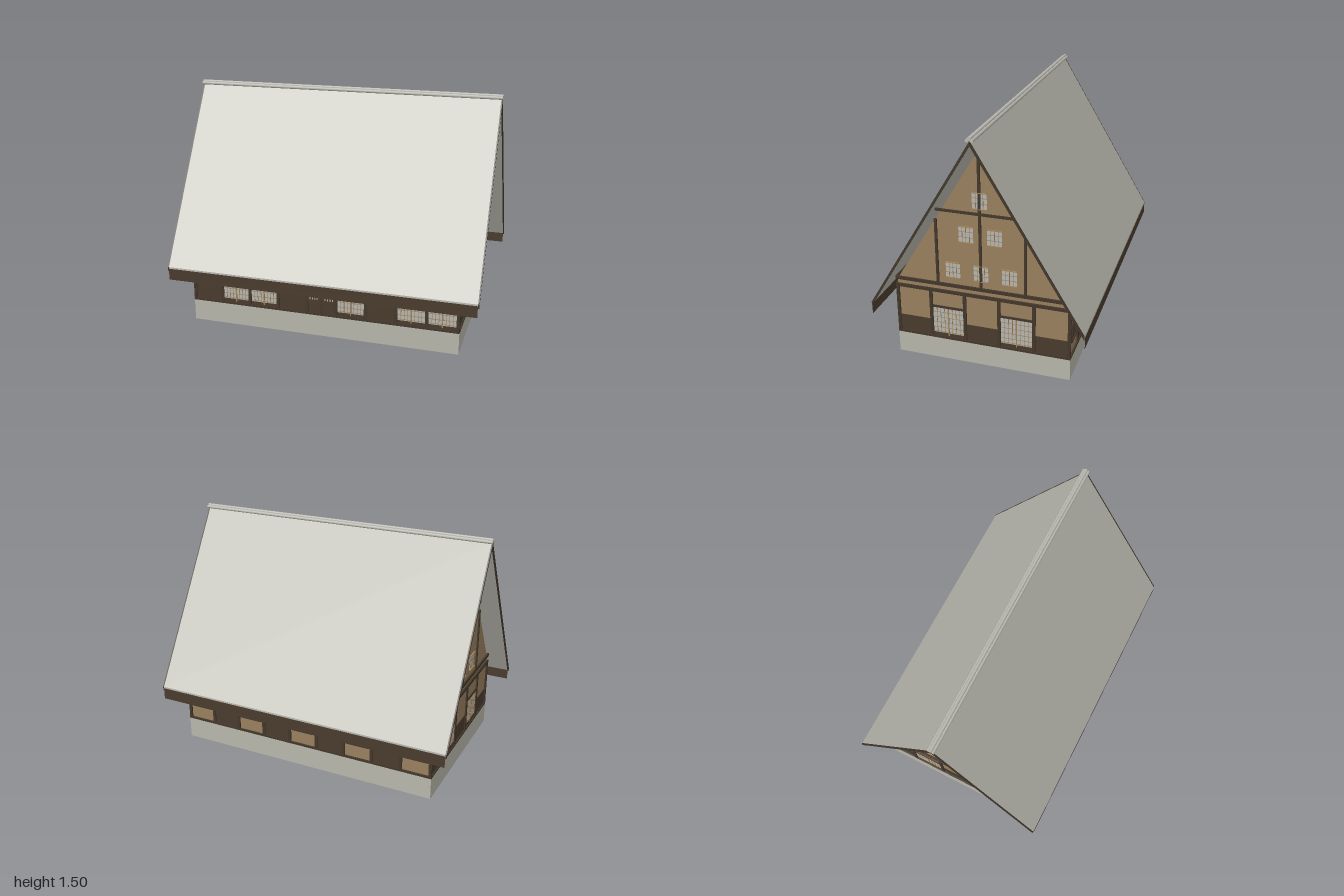
import * as THREE from 'three';

const paint = (name, color, extra = {}) => {
  const m = new THREE.MeshStandardMaterial({ color, ...extra });
  m.name = name;
  return m;
};

export function createModel() {
  const model = new THREE.Group();
  model.name = 'farmhouse';

  const roofGrey = paint('roof grey', 0xbab9b0);
  const stone = paint('foundation stone', 0xb8b7ac, { side: THREE.DoubleSide });
  const plaster = paint('ochre plaster', 0x9a805f);
  const timber = paint('dark timber', 0x42372b);
  const board = paint('brown boards', 0x4a3b2e);
  const eave = paint('eave boards', 0x4a3b2e, { side: THREE.DoubleSide });
  const paper = paint('paper pane', 0xb6b7b2);
  const lattice = paint('light lattice', 0xa08055);
  const shade = paint('dark opening', 0x2c251e);

  const add = (parent, name, geo, mat) => {
    const mesh = new THREE.Mesh(geo, mat);
    mesh.name = name;
    parent.add(mesh);
    return mesh;
  };

  // Cross-section in the z-y plane, run along x between x0 and x1
  const runAlongX = (pts, x0, x1) => {
    const shape = new THREE.Shape(pts.map(p => new THREE.Vector2(...p)));
    return new THREE.ExtrudeGeometry(shape, { depth: x1 - x0, bevelEnabled: false })
      .rotateY(Math.PI / 2).translate(x0, 0, 0);
  };

  // Foundation, open underneath
  const base = new THREE.BoxGeometry(1.75, 0.14, 1.096).translate(0, 0.07, 0);
  base.setIndex(Array.from(base.index.array).filter((_, i) => i < 18 || i >= 24));
  base.clearGroups();
  add(model, 'foundation', base, stone);

  // Plastered body with steep gables
  add(model, 'houseBody', runAlongX([[-0.538, 0.14], [0.538, 0.14], [0.538, 0.5], [0.53, 0.52],
    [0, 1.385], [-0.53, 0.52], [-0.538, 0.5]], -0.865, 0.865), plaster);

  // Roof, verge boards, eave boards and ridge
  const chevron = t => [[-0.655, 0.395 - t], [0, 1.478 - t], [0.655, 0.395 - t],
    [0.655, 0.395], [0, 1.478], [-0.655, 0.395]];
  add(model, 'roof', runAlongX(chevron(0.018), -0.99, 0.99), roofGrey);
  for (const s of [-1, 1]) {
    add(model, 'vergeBoard', runAlongX(chevron(0.026), s * 0.994 - 0.004, s * 0.994 + 0.004), timber);
    add(model, 'eaveBoard', new THREE.PlaneGeometry(1.98, 0.075).translate(0, 0.3475, s * 0.657), eave);
  }
  for (const [z, y] of [[-0.014, 1.481], [0.014, 1.481], [0, 1.491]]) {
    add(model, 'ridgePole', new THREE.CylinderGeometry(0.0105, 0.0105, 2, 8)
      .rotateZ(Math.PI / 2).translate(0, y, z), roofGrey);
  }

  // A wall group faces its local +z; slab() lays a piece on its surface
  const wall = (name, angle, distance) => {
    const g = new THREE.Group();
    g.name = name;
    g.rotation.y = angle;
    g.position.set(Math.sin(angle) * distance, 0, Math.cos(angle) * distance);
    model.add(g);
    return g;
  };
  const slab = (g, name, mat, u0, u1, y0, y1, out) =>
    add(g, name, new THREE.BoxGeometry(u1 - u0, y1 - y0, out)
      .translate((u0 + u1) / 2, (y0 + y1) / 2, out / 2), mat);

  // Sill, posts and head beams
  const frame = (g, half, bays) => {
    slab(g, 'sillBeam', timber, -half, half, 0.139, 0.152, 0.012);
    slab(g, 'headBeam', timber, -half, half, 0.458, 0.478, 0.012);
    slab(g, 'upperBeam', timber, -half, half, 0.506, 0.526, 0.012);
    const inner = half - 0.01;
    for (let i = 0; i <= bays; i++) {
      const u = -inner + (2 * inner * i) / bays;
      slab(g, 'post', timber, u - 0.01, u + 0.01, 0.15, 0.46, 0.01);
    }
    return 2 * inner / bays;
  };

  // Bay fillings: u is the bay centre and w its width
  const wainscot = (g, u, w) =>
    slab(g, 'wainscot', board, u - w / 2, u + w / 2, 0.15, 0.26, 0.003);

  const screen = (g, u, w) => {
    const h = w / 2 - 0.01;
    slab(g, 'kickBoard', board, u - h, u + h, 0.15, 0.175, 0.005);
    slab(g, 'lintel', timber, u - h, u + h, 0.35, 0.363, 0.009);
    slab(g, 'screenPaper', paper, u - h, u + h, 0.175, 0.35, 0.003);
    slab(g, 'screenStile', lattice, u - 0.004, u + 0.004, 0.16, 0.35, 0.006);
    for (const s of [-1, 1]) for (const k of [0.25, 0.5, 0.75]) {
      const c = u + s * h * k;
      slab(g, 'screenBar', lattice, c - 0.0015, c + 0.0015, 0.175, 0.35, 0.005);
    }
    for (const y of [0.183, 0.212, 0.247, 0.283, 0.318]) {
      slab(g, 'screenRail', lattice, u - h, u + h, y - 0.0015, y + 0.0015, 0.005);
    }
  };

  const door = (g, u, w) => {
    slab(g, 'doorLeaf', board, u - w / 2, u + w / 2, 0.15, 0.36, 0.004);
    slab(g, 'doorSeam', timber, u - 0.003, u + 0.003, 0.15, 0.36, 0.006);
    for (const s of [-1, 1]) for (let i = 0; i < 4; i++) {
      const c = u + s * 0.05 + (i - 1.5) * 0.016;
      slab(g, 'doorSlot', paper, c - 0.003, c + 0.003, 0.24, 0.345, 0.005);
    }
  };

  const barredWindow = (g, u) => {
    slab(g, 'windowOpening', shade, u - 0.07, u + 0.07, 0.245, 0.35, 0.003);
    for (const y of [0.24, 0.345]) slab(g, 'windowRail', timber, u - 0.075, u + 0.075, y, y + 0.01, 0.014);
    for (const s of [-1, 1]) {
      slab(g, 'windowJamb', timber, u + s * 0.071 - 0.004, u + s * 0.071 + 0.004, 0.24, 0.355, 0.012);
    }
    for (let i = -3; i <= 3; i++) {
      slab(g, 'windowBar', timber, u + i * 0.018 - 0.003, u + i * 0.018 + 0.003, 0.25, 0.345, 0.008);
    }
  };

  const gableWindow = (g, u, y) => {
    slab(g, 'gablePane', paper, u - 0.045, u + 0.045, y - 0.05, y + 0.05, 0.003);
    for (const k of [-0.0225, 0, 0.0225]) {
      slab(g, 'gableBar', lattice, u + k - 0.0015, u + k + 0.0015, y - 0.05, y + 0.05, 0.005);
    }
    for (const k of [-0.017, 0.017]) {
      slab(g, 'gableBar', lattice, u - 0.045, u + 0.045, y + k - 0.0015, y + k + 0.0015, 0.005);
    }
    for (const k of [-0.05, 0.05]) {
      slab(g, 'gableFrame', lattice, u - 0.045, u + 0.045, y + k - 0.002, y + k + 0.002, 0.012);
    }
  };

  // Front: w = wainscot, s = paper screen, d = door
  const front = wall('frontWall', 0, 0.537);
  const pitch = frame(front, 0.876, 9);
  const fill = { w: wainscot, s: screen, d: door };
  [...'wsswdswss'].forEach((kind, i) => fill[kind](front, (i - 4) * pitch, pitch));

  // Back: barred windows alternate with boarded bays
  const back = wall('backWall', Math.PI, 0.537);
  frame(back, 0.876, 9);
  for (let i = 0; i < 9; i++) {
    const u = (i - 4) * pitch;
    if (i % 2) wainscot(back, u, pitch);
    else barredWindow(back, u);
  }

  // Gable ends
  for (const s of [-1, 1]) {
    const gable = wall(s > 0 ? 'leftGable' : 'rightGable', s * Math.PI / 2, 0.864);
    const p = frame(gable, 0.549, 5);
    for (let i = 0; i < 5; i++) (i % 2 ? screen : wainscot)(gable, (i - 2) * p, p);
    slab(gable, 'kingPost', timber, -0.008, 0.008, 0.526, 1.372, 0.01);
    slab(gable, 'collarBeam', timber, -0.272, 0.272, 0.993, 1.008, 0.011);
    for (const side of [-1, 1]) {
      slab(gable, 'gableStud', timber, side * 0.272 - 0.008, side * 0.272 + 0.008, 0.526, 0.94, 0.01);
    }
    for (const [u, y] of [[-0.175, 0.62], [0, 0.62], [0.175, 0.62], [-0.0875, 0.862], [0.0875, 0.862], [0, 1.082]]) {
      gableWindow(gable, u, y);
    }
  }

  return model;
}
